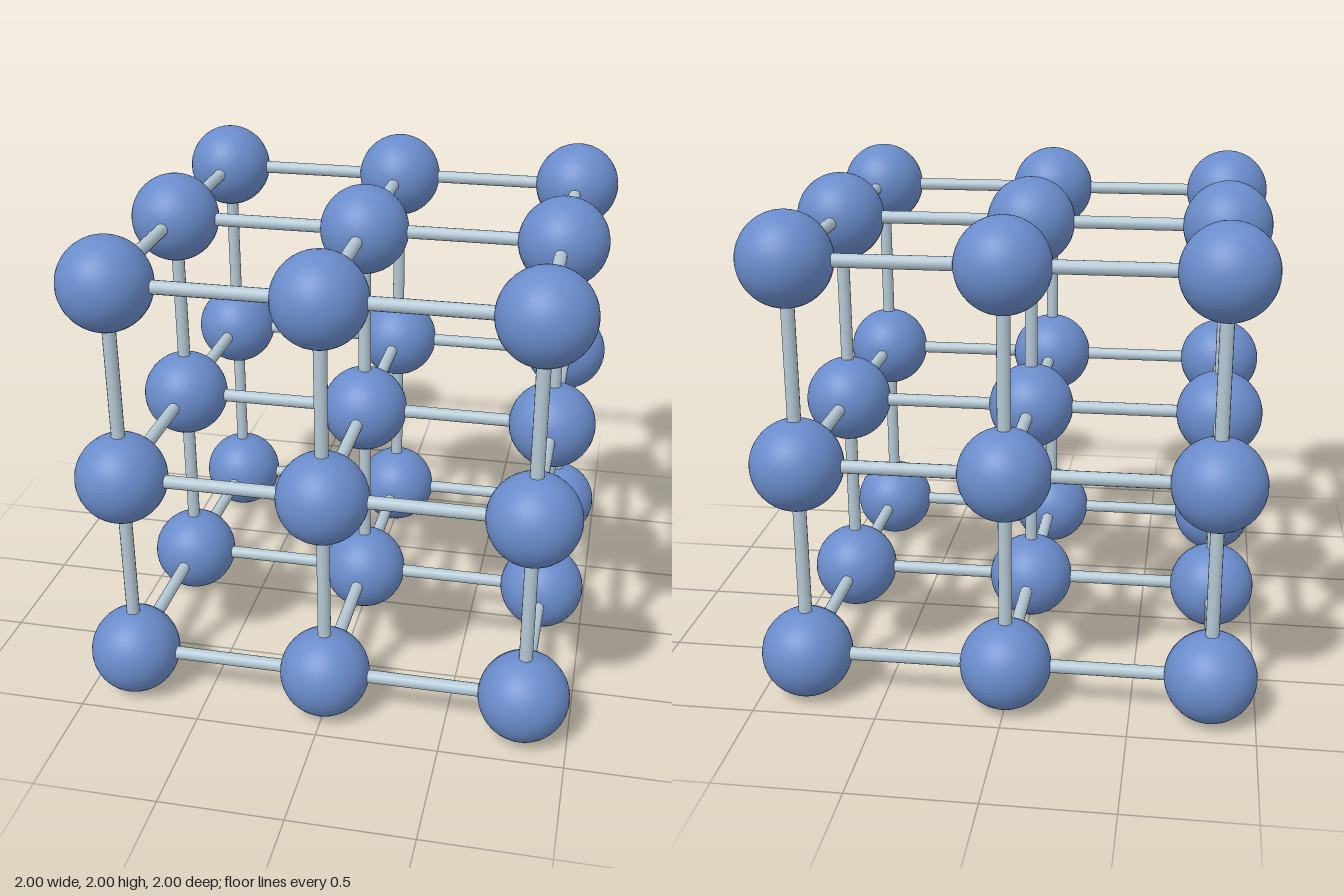
import * as THREE from 'three';

export function createModel() {
  const model = new THREE.Group();
  model.name = 'cubicLattice';

  const blue = new THREE.MeshStandardMaterial({ color: 0x6a8ccb });
  blue.name = 'node blue';
  const steel = new THREE.MeshStandardMaterial({ color: 0xb4c8d4 });
  steel.name = 'rod pale steel';

  const radius = 0.184;
  const step = 1 - radius; // node spacing, so the lattice spans 2 units
  const nodeGeometry = new THREE.SphereGeometry(radius, 40, 24);
  const rodGeometry = new THREE.CylinderGeometry(0.027, 0.027, step, 16, 1, true);

  const nodes = new THREE.Group();
  nodes.name = 'nodes';
  const rods = new THREE.Group();
  rods.name = 'rods';
  model.add(nodes, rods);

  const up = new THREE.Vector3(0, 1, 0);
  const axes = { x: new THREE.Vector3(1, 0, 0), y: up, z: new THREE.Vector3(0, 0, 1) };

  for (const i of [-1, 0, 1]) for (const j of [-1, 0, 1]) for (const k of [-1, 0, 1]) {
    const cell = new THREE.Vector3(i, j, k);
    const position = cell.clone().multiplyScalar(step).add(up);

    // Ball at each lattice point
    const node = new THREE.Mesh(nodeGeometry, blue);
    node.name = 'node';
    node.position.copy(position);
    nodes.add(node);

    // Rod to the next ball along each axis
    for (const [key, axis] of Object.entries(axes)) {
      if (cell[key] === 1) continue;
      const rod = new THREE.Mesh(rodGeometry, steel);
      rod.name = key + 'Rod';
      rod.position.copy(position).addScaledVector(axis, step / 2);
      rod.quaternion.setFromUnitVectors(up, axis);
      rods.add(rod);
    }
  }
  return model;
}
